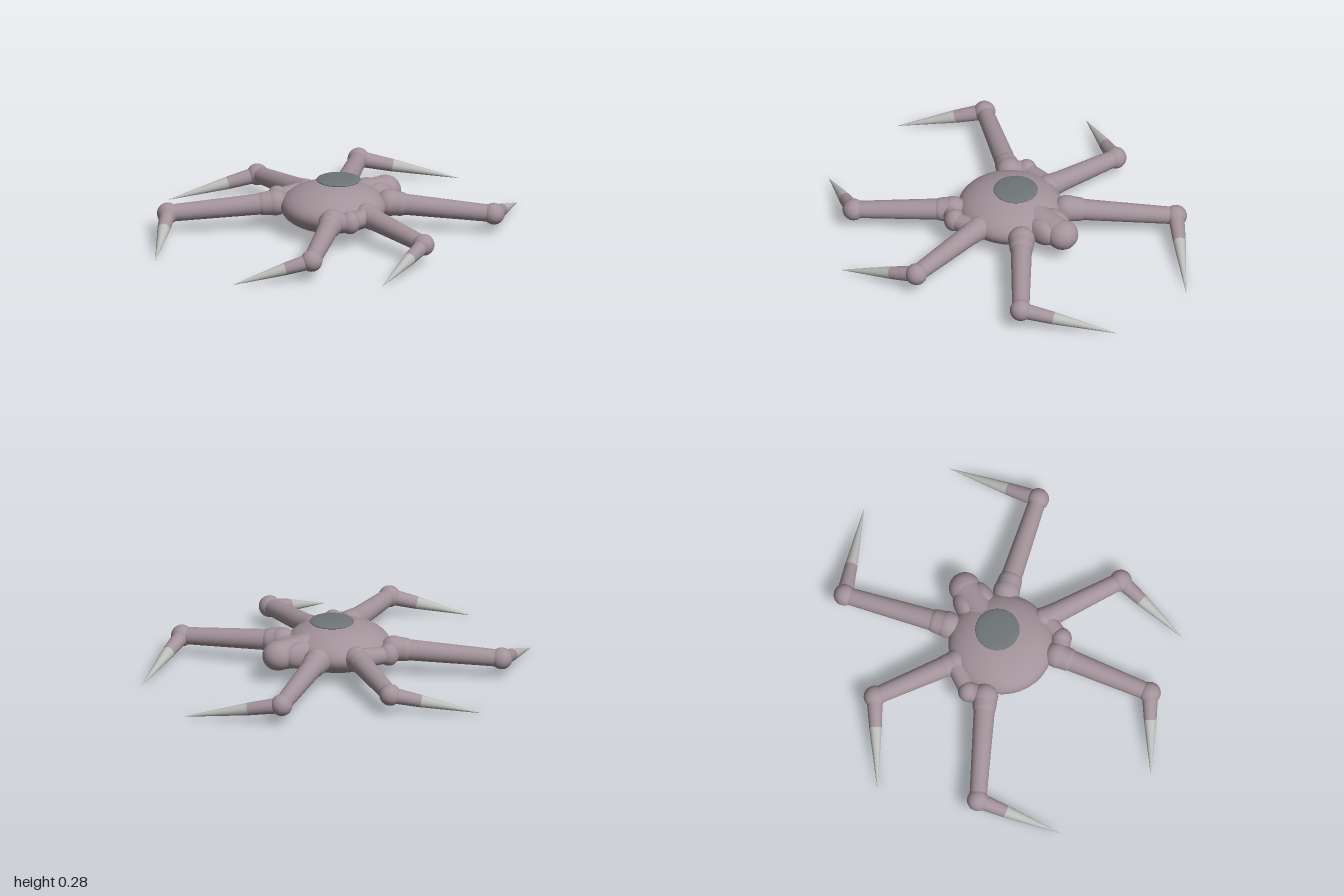
import * as THREE from 'three';

const V = (x, y, z) => new THREE.Vector3(x, y, z);

export function createModel() {
  const root = new THREE.Group();
  root.name = 'sixLeggedWalker';
  const mat = (name, color) => Object.assign(new THREE.MeshStandardMaterial({ color }), { name });
  const shell = mat('mauveShell', 0xa3939a);
  const lens = mat('darkLens', 0x6f7576);
  const claw = mat('paleClaw', 0xbcbcba);

  const add = (parent, geo, material, name) => {
    const m = new THREE.Mesh(geo, material);
    m.name = name;
    parent.add(m);
    return m;
  };
  const ball = (parent, name, p, rx, ry = rx, rz = rx, material = shell) => {
    const m = add(parent, new THREE.SphereGeometry(1, 36, 24), material, name);
    m.scale.set(rx, ry, rz);
    m.position.copy(p);
    return m;
  };
  // tapered rod running from a to b
  const rod = (parent, name, a, b, ra, rb, material = shell) => {
    const d = b.clone().sub(a);
    const m = add(parent, new THREE.CylinderGeometry(rb, ra, d.length(), 28), material, name);
    m.position.copy(a).addScaledVector(d, 0.5);
    m.quaternion.setFromUnitVectors(V(0, 1, 0), d.normalize());
    return m;
  };

  // body and top lens
  ball(root, 'body', V(0.04, 0.132, 0.015), 0.265, 0.12, 0.268);
  ball(root, 'topLens', V(0.04, 0.263, -0.02), 0.112, 0.015, 0.112, lens);

  // rear lobe with its neck and side bulges
  const tail = new THREE.Group();
  tail.name = 'rearLobe';
  root.add(tail);
  ball(tail, 'lobeTip', V(0.04, 0.138, -0.335), 0.08, 0.075, 0.08);
  rod(tail, 'lobeNeck', V(0.04, 0.138, -0.15), V(0.04, 0.138, -0.335), 0.088, 0.073);
  for (const s of [-1, 1]) {
    ball(tail, 'lobeBulge', V(0.04 + s * 0.055, 0.14, -0.24), 0.05, 0.068, 0.09);
  }

  // legs: [name, hip, knee, tip] as x, z pairs, hip joint radius
  const legs = [
    ['backRightLeg', [-0.135, -0.21], [-0.49, -0.63], [-0.15, -1.0], 0.068],
    ['backLeftLeg', [0.21, -0.21], [0.61, -0.56], [0.335, -0.96], 0.068],
    ['middleRightLeg', [-0.205, -0.02], [-0.645, -0.085], [-0.87, 0.31], 0.062],
    ['middleLeftLeg', [0.285, 0.015], [0.738, 0.03], [0.863, 0.42], 0.062],
    ['frontRightLeg', [-0.175, 0.215], [-0.49, 0.66], [-0.21, 0.995], 0.066],
    ['frontLeftLeg', [0.25, 0.215], [0.55, 0.62], [0.345, 0.965], 0.066],
  ];
  for (const [name, h, k, t, r] of legs) {
    const leg = new THREE.Group();
    leg.name = name;
    root.add(leg);
    const hip = V(h[0], 0.14, h[1]);
    const knee = V(k[0], 0.103, k[1]);
    const tip = V(t[0], 0.002, t[1]);
    const out = knee.clone().sub(hip).normalize();
    const socket = hip.clone().addScaledVector(out, 0.055);
    ball(leg, 'hipBall', hip, r);
    rod(leg, 'hipCuff', hip, socket, r * 0.97, r * 0.9);
    ball(leg, 'hipEnd', socket, r * 0.9);
    rod(leg, 'upperLeg', socket, knee, 0.054, 0.043);
    ball(leg, 'knee', knee, 0.055);
    const wrist = knee.clone().lerp(tip, 0.34);
    rod(leg, 'lowerLeg', knee, wrist, 0.041, 0.032);
    rod(leg, 'claw', wrist, tip, 0.032, 0.001, claw);
  }

  // shoulder lobes between the front and middle legs
  for (const s of [-1, 1]) {
    const p = V(0.04 + s * 0.275, 0.14, 0.15);
    ball(root, 'shoulderLobe', p, 0.052, 0.058, 0.052);
    rod(root, 'shoulderArm', V(0.04 + s * 0.215, 0.14, 0.215), p, 0.05, 0.05);
    rod(root, 'shoulderBrace', p, V(0.04 + s * 0.255, 0.14, 0.01), 0.042, 0.05);
  }
  return root;
}
